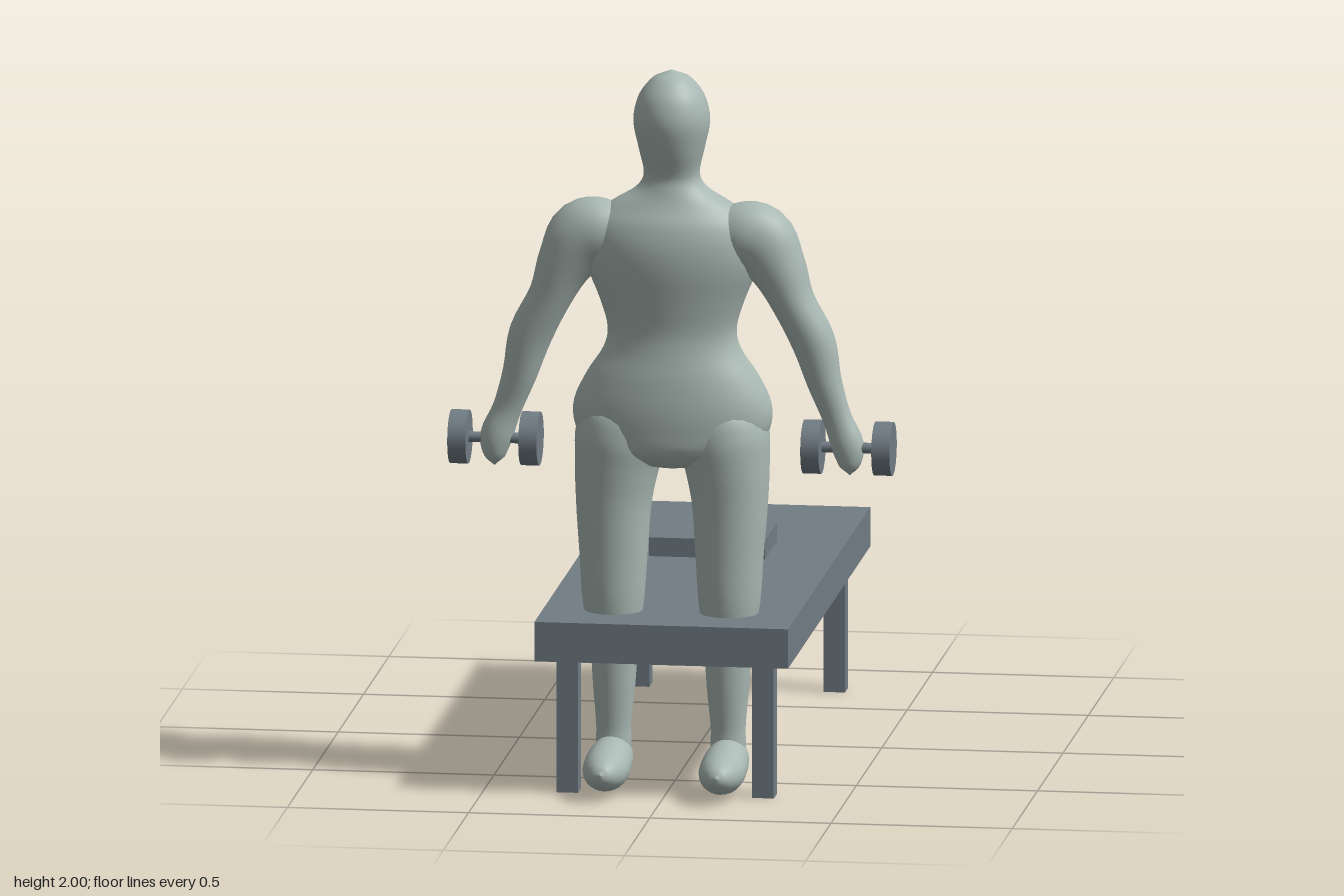
import * as THREE from 'three';

const skin = new THREE.MeshStandardMaterial({ color: 0xa9b8b3 });
skin.name = 'pale grey green';
const slate = new THREE.MeshStandardMaterial({ color: 0x707c84 });
slate.name = 'slate grey';

const Z_AXIS = new THREE.Vector3(0, 0, 1);
const X_AXIS = new THREE.Vector3(1, 0, 0);

// Smooth closed limb: rows are [x, y, z, radius across, radius along the u axis]
function loft(rows, u, steps = 4, sides = 28) {
  const path = new THREE.CatmullRomCurve3(rows.map(r => new THREE.Vector3(r[0], r[1], r[2])));
  const size = new THREE.CatmullRomCurve3(
    rows.map(r => new THREE.Vector3(r[3], r[4], 0)), false, 'catmullrom', 0.5);
  const n = (rows.length - 1) * steps;
  const pos = [], index = [];
  for (let i = 0; i <= n; i++) {
    const c = path.getPoint(i / n);
    const s = size.getPoint(i / n);
    const v = path.getTangent(i / n).cross(u).normalize();
    for (let j = 0; j < sides; j++) {
      const a = (j / sides) * Math.PI * 2;
      const p = c.clone()
        .addScaledVector(u, Math.max(s.y, 0.001) * Math.cos(a))
        .addScaledVector(v, Math.max(s.x, 0.001) * Math.sin(a));
      pos.push(p.x, p.y, p.z);
      if (i < n) {
        const k = (j + 1) % sides;
        const p0 = i * sides + j, p1 = i * sides + k;
        index.push(p0, p1, p0 + sides, p1, p1 + sides, p0 + sides);
      }
    }
  }
  const geo = new THREE.BufferGeometry();
  geo.setAttribute('position', new THREE.Float32BufferAttribute(pos, 3));
  geo.setIndex(index);
  geo.computeVertexNormals();
  return geo;
}

function add(parent, name, geo, mat, x = 0, y = 0, z = 0) {
  const m = new THREE.Mesh(geo, mat);
  m.name = name;
  m.position.set(x, y, z);
  parent.add(m);
  return m;
}

// Torso, neck and head: [y, z, half width, half depth]
const TORSO = [
  [0.885, 0.565, 0, 0], [0.90, 0.565, 0.10, 0.06], [0.94, 0.56, 0.22, 0.115],
  [1.00, 0.55, 0.268, 0.135], [1.07, 0.545, 0.272, 0.142], [1.15, 0.547, 0.235, 0.133],
  [1.22, 0.553, 0.19, 0.115], [1.28, 0.558, 0.178, 0.106], [1.36, 0.56, 0.20, 0.114],
  [1.45, 0.56, 0.235, 0.127], [1.52, 0.56, 0.24, 0.128], [1.58, 0.56, 0.22, 0.115],
  [1.63, 0.56, 0.165, 0.09], [1.67, 0.562, 0.10, 0.074], [1.71, 0.565, 0.077, 0.066],
  [1.78, 0.567, 0.09, 0.09], [1.86, 0.567, 0.105, 0.109], [1.93, 0.567, 0.09, 0.095],
  [1.98, 0.567, 0.05, 0.053], [2.0, 0.567, 0, 0],
].map(([y, z, w, d]) => [0, y, z, w, d]);

const arm = s => [
  [0.10, 1.53, 0.565, 0.05, 0.05], [0.18, 1.545, 0.565, 0.088, 0.08],
  [0.24, 1.53, 0.565, 0.10, 0.083], [0.29, 1.46, 0.565, 0.08, 0.077],
  [0.335, 1.36, 0.565, 0.06, 0.066], [0.39, 1.25, 0.56, 0.06, 0.06],
  [0.42, 1.14, 0.56, 0.048, 0.047], [0.455, 1.04, 0.56, 0.04, 0.034],
  [0.485, 0.96, 0.56, 0.045, 0.04], [0.49, 0.905, 0.56, 0.028, 0.03],
  [0.49, 0.88, 0.56, 0, 0],
].map(r => [s * r[0], ...r.slice(1)]);

const leg = s => [
  [0.16, 0.06, 0.575, 0.03, 0.03], [0.158, 0.11, 0.58, 0.048, 0.048],
  [0.158, 0.17, 0.583, 0.048, 0.045], [0.157, 0.28, 0.58, 0.058, 0.056],
  [0.157, 0.40, 0.578, 0.067, 0.064], [0.16, 0.52, 0.573, 0.085, 0.084],
  [0.16, 0.65, 0.57, 0.094, 0.09], [0.16, 0.80, 0.56, 0.105, 0.104],
  [0.152, 0.90, 0.555, 0.117, 0.117], [0.14, 0.98, 0.55, 0.127, 0.125],
  [0.13, 1.06, 0.55, 0.10, 0.10], [0.13, 1.10, 0.55, 0, 0],
].map(r => [s * r[0], ...r.slice(1)]);

const foot = s => [
  [0.505, 0.09, 0, 0], [0.52, 0.088, 0.034, 0.03], [0.56, 0.082, 0.057, 0.052],
  [0.65, 0.08, 0.065, 0.062], [0.74, 0.073, 0.058, 0.062], [0.80, 0.075, 0.042, 0.045],
  [0.83, 0.078, 0.022, 0.024], [0.84, 0.08, 0, 0],
].map(([z, y, h, w]) => [s * 0.16, y, z, h, w]);

export function createModel() {
  const model = new THREE.Group();
  model.name = 'benchExercise';

  // Figure
  const figure = new THREE.Group();
  figure.name = 'figure';
  model.add(figure);
  add(figure, 'torsoAndHead', loft(TORSO, Z_AXIS, 4, 40), skin);
  for (const [side, s] of [['left', 1], ['right', -1]]) {
    add(figure, side + 'Arm', loft(arm(s), Z_AXIS), skin);
    add(figure, side + 'Leg', loft(leg(s), Z_AXIS), skin);
    add(figure, side + 'Foot', loft(foot(s), X_AXIS), skin);

    // Dumbbell held across the hand
    const bell = new THREE.Group();
    bell.name = side + 'Dumbbell';
    bell.position.set(s * 0.487, 0.957, 0.562);
    bell.rotation.z = Math.PI / 2;
    add(bell, 'handle', new THREE.CylinderGeometry(0.015, 0.015, 0.16, 16), slate);
    for (const e of [-1, 1]) {
      add(bell, 'weight', new THREE.CylinderGeometry(0.074, 0.074, 0.05, 24), slate, 0, e * 0.098, 0);
    }
    model.add(bell);
  }

  // Bench with four legs and a small block on top
  const bench = new THREE.Group();
  bench.name = 'bench';
  model.add(bench);
  add(bench, 'benchTop', new THREE.BoxGeometry(0.7, 0.11, 1.62), slate, 0, 0.435, -0.035);
  add(bench, 'block', new THREE.BoxGeometry(0.32, 0.055, 0.235), slate, 0, 0.515, -0.242);
  for (const x of [-0.27, 0.27]) {
    for (const z of [0.67, -0.735]) {
      add(bench, 'benchLeg', new THREE.BoxGeometry(0.06, 0.385, 0.06), slate, x, 0.1925, z);
    }
  }
  return model;
}
